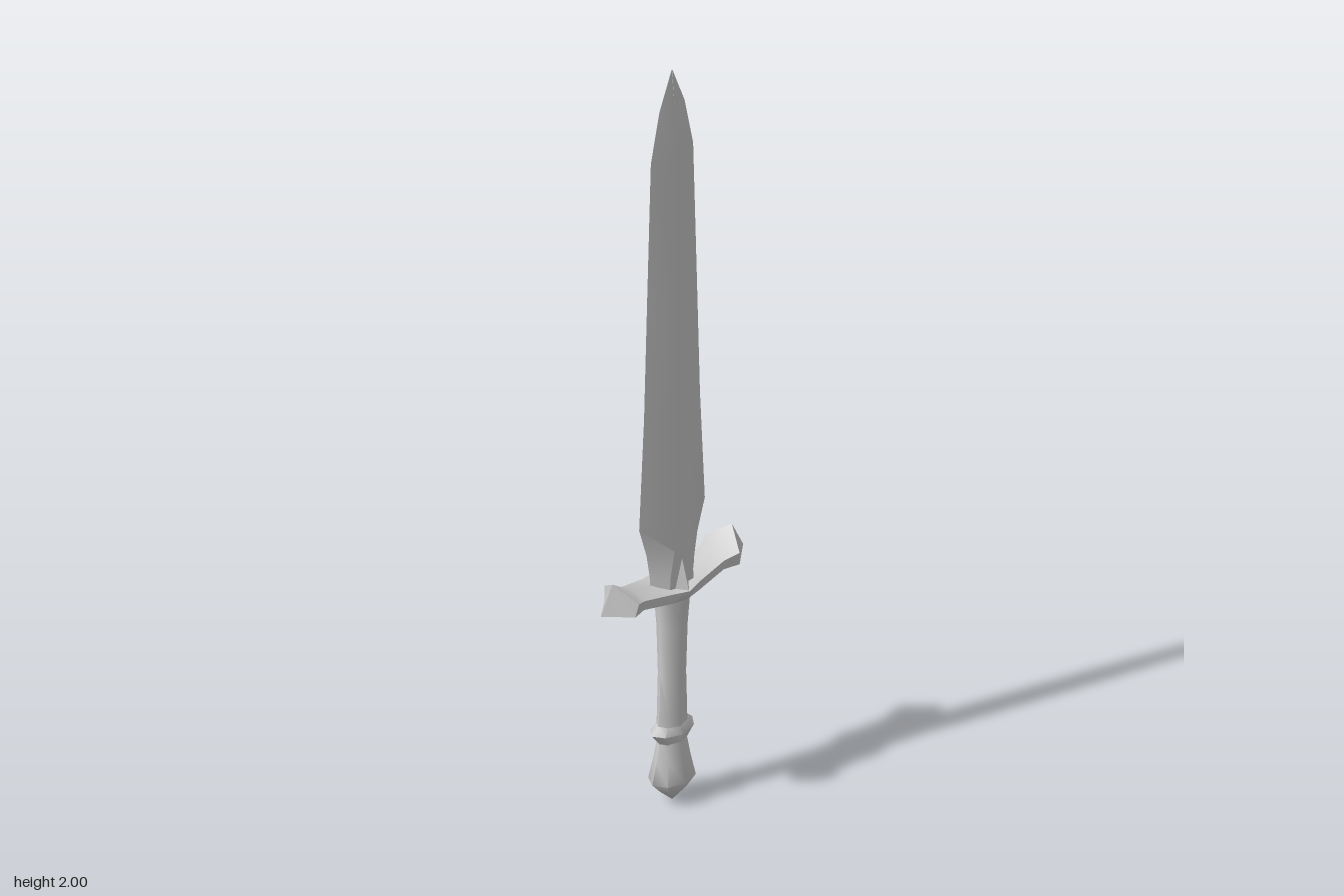
import * as THREE from 'three';
import { toCreasedNormals } from 'three/addons/utils/BufferGeometryUtils.js';

// Skins a list of equal-sized rings (counter-clockwise about the travel axis) and caps both ends.
function loft(name, rings, crease) {
  const n = rings[0].length;
  const last = (rings.length - 1) * n;
  const index = [];
  for (let i = 0; i < rings.length - 1; i++) {
    for (let j = 0; j < n; j++) {
      const a = i * n + j, b = i * n + (j + 1) % n;
      index.push(a, b, a + n, b, b + n, a + n);
    }
  }
  for (let j = 1; j < n - 1; j++) {
    index.push(0, j + 1, j, last, last + j, last + j + 1);
  }
  const geometry = new THREE.BufferGeometry();
  geometry.setAttribute('position', new THREE.Float32BufferAttribute(rings.flat(2), 3));
  geometry.setIndex(index);
  const mesh = new THREE.Mesh(
    toCreasedNormals(geometry, crease),
    new THREE.MeshStandardMaterial({ color: 0xcccccc })
  );
  mesh.name = name;
  return mesh;
}

// Oval ring with eight sides around the vertical axis
function ovalRing([y, rx, rz]) {
  return Array.from({ length: 8 }, (_, j) => {
    const a = j * Math.PI / 4;
    return [rx * Math.cos(a), y, -rz * Math.sin(a)];
  });
}

// Blade section: sharp edges at +-z and a ridge that widens into a flat near the guard
const bladeRing = ([y, t, w, flat]) => [
  [t, y, flat], [t, y, -flat], [0, y, -w],
  [-t, y, -flat], [-t, y, flat], [0, y, w],
];

// Guard section: top point, two side points per flank, bottom point
const guardRing = (s, dir) => {
  const [top, upper, lower, bottom] = s.map(([x, y, z]) => [x, y, z * dir]);
  const flip = ([x, y, z]) => [-x, y, z];
  return [top, flip(upper), flip(lower), bottom, lower, upper];
};

export function createModel() {
  const sword = new THREE.Group();
  sword.name = 'sword';

  // Blade: height, half thickness, half width, half flat
  sword.add(loft('blade', [
    [0.58, 0.033, 0.068, 0.04],
    [0.64, 0.033, 0.073, 0.036],
    [0.70, 0.032, 0.083, 0.022],
    [0.78, 0.031, 0.107, 0.002],
    [1.08, 0.030, 0.091, 0.002],
    [1.40, 0.026, 0.081, 0.002],
    [1.77, 0.017, 0.069, 0.002],
    [1.90, 0.010, 0.041, 0.001],
    [2.00, 0.001, 0.001, 0.0005],
  ].map(bladeRing), 0.35));

  // Crossguard: arms rise outward to flared, ridged ends
  const arm = [
    [[0, 0.61, 0.045], [0.050, 0.60, 0.045], [0.045, 0.572, 0.045], [0, 0.553, 0.045]],
    [[0, 0.625, 0.125], [0.042, 0.615, 0.13], [0.040, 0.590, 0.13], [0, 0.573, 0.13]],
    [[0, 0.67, 0.195], [0.058, 0.628, 0.164], [0.052, 0.592, 0.170], [0, 0.598, 0.232]],
  ];
  const middle = [[0, 0.60, 0], [0.061, 0.595, 0], [0.052, 0.57, 0], [0, 0.55, 0]];
  sword.add(loft('crossguard', [
    ...[...arm].reverse().map((s) => guardRing(s, -1)),
    guardRing(middle, 1),
    ...arm.map((s) => guardRing(s, 1)),
  ], 0.9));

  // Small pointed tongues rising from the guard over each blade face
  for (const side of [-1, 1]) {
    const tongue = new THREE.Mesh(
      new THREE.ConeGeometry(0.025, 0.085, 4),
      new THREE.MeshStandardMaterial({ color: 0xcccccc, flatShading: true })
    );
    tongue.name = side > 0 ? 'leftTongue' : 'rightTongue';
    tongue.position.set(side * 0.034, 0.63, 0);
    sword.add(tongue);
  }

  // Grip
  sword.add(loft('grip', [
    [0.19, 0.028, 0.047],
    [0.23, 0.028, 0.043],
    [0.35, 0.029, 0.037],
    [0.48, 0.033, 0.040],
    [0.57, 0.041, 0.045],
  ].map(ovalRing), 1));

  // Collar whose outer points turn slightly upward
  sword.add(loft('collar', [
    [0.165, 0.027, 0.040],
    [0.195, 0.036, 0.066],
    [0.215, 0.028, 0.045],
  ].map(ovalRing).map((ring) => ring.map(([x, y, z]) =>
    [x, y + 0.1 * (Math.abs(z) - 0.045), z])), 0.8));

  // Pommel
  sword.add(loft('pommel', [
    [0, 0.002, 0.002],
    [0.035, 0.032, 0.040],
    [0.062, 0.047, 0.064],
    [0.12, 0.036, 0.050],
    [0.18, 0.028, 0.038],
  ].map(ovalRing), 0.9));

  return sword;
}
